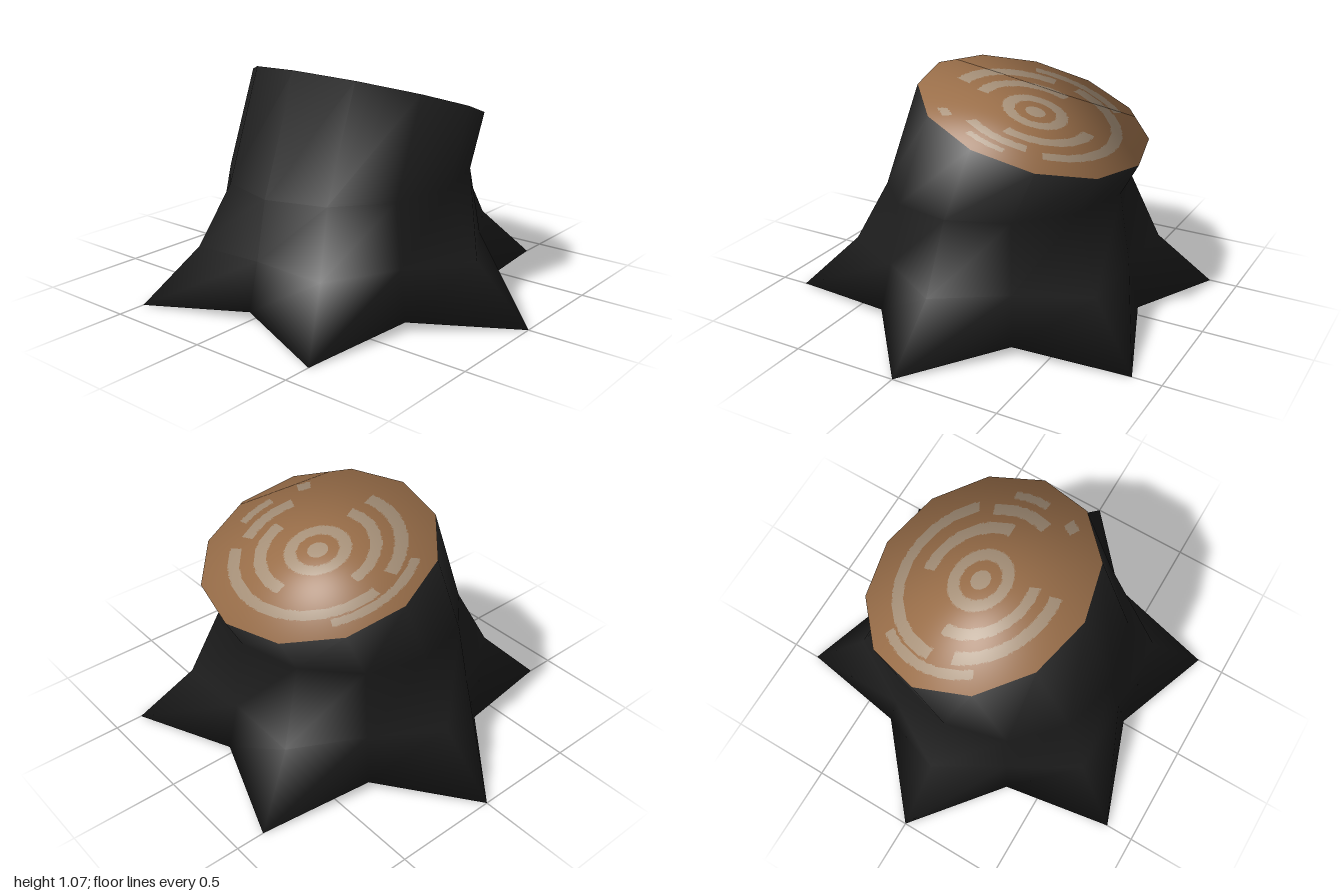
import * as THREE from 'three';

const SIDES = 12;

export function createModel() {
  const group = new THREE.Group();
  group.name = 'treeStump';
  const material = (name, color) => {
    const m = new THREE.MeshStandardMaterial({ color });
    m.name = name;
    return m;
  };
  const bark = material('charredBark', 0x1d1d1d);
  const wood = material('brownWood', 0x996e49);
  const pale = material('paleWood', 0xa8927a);

  // Cross-sections from the root star up to the slanted cut; odd corners are root tips
  const rings = [
    (c, s, tip) => (tip ? [c, 0, s] : [0.685 * c, 0.04, 0.685 * s]),
    (c, s, tip) => (tip ? [0.73 * c, 0.25, 0.73 * s] : [0.63 * c, 0.26, 0.63 * s]),
    (c, s) => [0.575 * c, 0.56 + 0.03 * c, 0.575 * s],
    (c, s) => [0.14 + 0.515 * c, 0.905 - 0.165 * c, 0.575 * s],
  ];
  const points = [];
  for (const ring of rings) {
    for (let k = 0; k < SIDES; k++) {
      const a = (k / SIDES) * Math.PI * 2;
      points.push(new THREE.Vector3(...ring(Math.cos(a), Math.sin(a), k % 2 === 1)));
    }
  }
  const topRim = (rings.length - 1) * SIDES;
  const bottomCentre = points.push(new THREE.Vector3(0, 0.04, 0)) - 1;
  const topCentre = points.push(new THREE.Vector3(0.14, 0.905, 0)) - 1;

  const sides = [], top = [], bottom = [];
  for (let k = 0; k < SIDES; k++) {
    const n = (k + 1) % SIDES;
    for (let o = 0; o < topRim; o += SIDES) {
      const a = o + k, b = o + n, c = a + SIDES, d = b + SIDES;
      sides.push([a, c, b], [b, c, d]);
    }
    top.push([topCentre, topRim + n, topRim + k]);
    // Underside: a flat hexagon between the roots, and one triangle under each root
    if (k % 2 === 0) {
      const next = (k + 2) % SIDES;
      bottom.push([bottomCentre, k, next], [k, n, next]);
    }
  }

  // Smooth normals across the closed hull, weighted by corner angle
  const normals = points.map(() => new THREE.Vector3());
  for (const face of [...sides, ...top, ...bottom]) {
    const corners = face.map((i) => points[i]);
    const faceNormal = new THREE.Triangle(...corners).getNormal(new THREE.Vector3());
    face.forEach((index, i) => {
      const e1 = corners[(i + 1) % 3].clone().sub(corners[i]);
      const e2 = corners[(i + 2) % 3].clone().sub(corners[i]);
      normals[index].addScaledVector(faceNormal, e1.angleTo(e2));
    });
  }
  normals.forEach((n) => n.normalize());

  // Cap centres blend the normals around them
  const blendCentre = (centre, rim, step) => {
    normals[centre].set(0, 0, 0);
    for (let k = 0; k < SIDES; k += step) normals[centre].addScaledVector(normals[rim + k], step / SIDES);
  };
  blendCentre(topCentre, topRim, 1);
  blendCentre(bottomCentre, 0, 2);

  const build = (name, pos, nor, index, materials) => {
    const g = new THREE.BufferGeometry();
    g.setAttribute('position', new THREE.Float32BufferAttribute(pos.flatMap((v) => v.toArray()), 3));
    g.setAttribute('normal', new THREE.Float32BufferAttribute(nor.flatMap((v) => v.toArray()), 3));
    g.setIndex(index);
    const mesh = new THREE.Mesh(g, materials);
    mesh.name = name;
    group.add(mesh);
    return g;
  };
  build('trunkAndRoots', points, normals, sides.flat(), bark);

  // A cap whose triangles are divided into small cells, brown or pale according to isPale
  function cap(name, faces, steps, isPale) {
    const pos = [], nor = [], brownCells = [], paleCells = [];
    for (const face of faces) {
      const mix = (list, i, j) => new THREE.Vector3()
        .addScaledVector(list[face[0]], (steps - i) / steps)
        .addScaledVector(list[face[1]], (i - j) / steps)
        .addScaledVector(list[face[2]], j / steps);
      const start = pos.length;
      const at = (i, j) => start + (i * (i + 1)) / 2 + j;
      for (let i = 0; i <= steps; i++) {
        for (let j = 0; j <= i; j++) {
          pos.push(mix(points, i, j));
          nor.push(mix(normals, i, j).normalize());
        }
      }
      const addCell = (a, b, c) => {
        const x = (pos[a].x + pos[b].x + pos[c].x) / 3;
        const z = (pos[a].z + pos[b].z + pos[c].z) / 3;
        (isPale(x, z) ? paleCells : brownCells).push(a, b, c);
      };
      for (let i = 0; i < steps; i++) {
        for (let j = 0; j <= i; j++) {
          addCell(at(i, j), at(i + 1, j), at(i + 1, j + 1));
          if (j < i) addCell(at(i, j), at(i + 1, j + 1), at(i, j + 1));
        }
      }
    }
    const g = build(name, pos, nor, [...brownCells, ...paleCells], [wood, pale]);
    g.addGroup(0, brownCells.length, 0);
    g.addGroup(brownCells.length, paleCells.length, 1);
  }

  // Growth rings: inner radius, outer radius, start angle, end angle
  const growth = [
    [0, 0.085, 0, 360], [0.18, 0.285, 0, 360],
    [0.43, 0.53, 167, 275], [0.43, 0.54, 350, 450],
    [0.63, 0.74, 172, 255], [0.66, 0.76, 272, 415], [0.61, 0.71, 66, 113],
    [0.78, 0.86, 240, 305], [0.77, 0.84, 78, 102], [0.78, 0.87, 120, 128],
  ];
  cap('cutTop', top, 56, (x, z) => {
    const u = (x - 0.14) / 0.515, w = z / 0.575;
    const t = Math.hypot(u, w), angle = THREE.MathUtils.radToDeg(Math.atan2(w, u));
    return growth.some(([r0, r1, a0, a1]) =>
      t > r0 && t < r1 && (angle - a0 + 720) % 360 <= a1 - a0);
  });

  // Underside: pale, with brown towards one side
  cap('underside', bottom, 40, (x, z) => x < 0.42 - 0.3 * z * z);

  return group;
}
